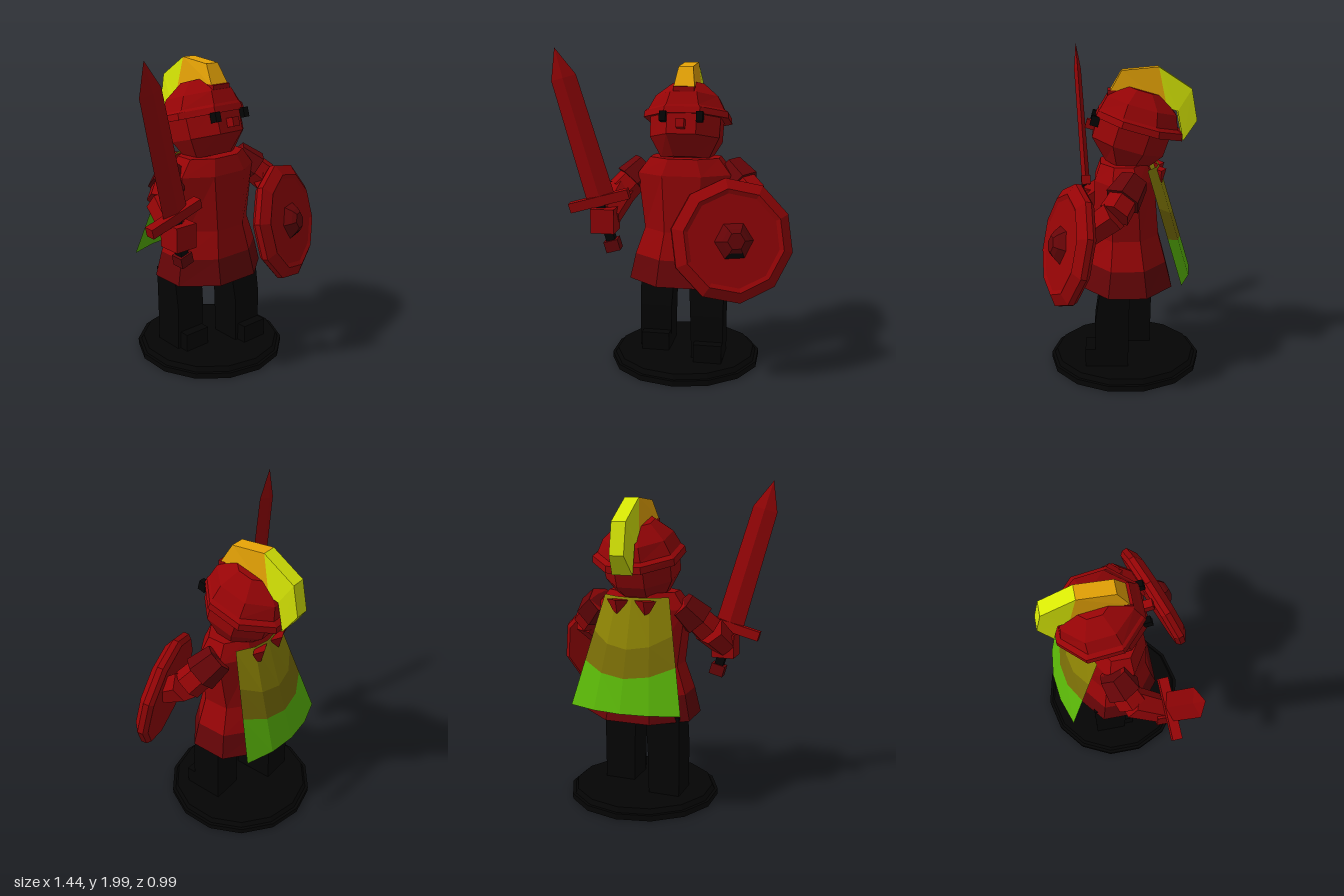
import * as THREE from 'three';

const mat = (name, color) => {
  const m = new THREE.MeshStandardMaterial({ color });
  m.name = name;
  return m;
};

// Faceted geometry from an indexed or plain one
function facet(geo) {
  const g = geo.index ? geo.toNonIndexed() : geo;
  g.computeVertexNormals();
  return g;
}

// Capped skin over consecutive rings of n points each
function skin(pos, n) {
  const idx = [], last = pos.length / 3 - n;
  for (let r = 0; r < last; r += n) {
    for (let i = 0; i < n; i++) {
      const j = (i + 1) % n;
      idx.push(r + i, r + j, r + n + j, r + i, r + n + j, r + n + i);
    }
  }
  for (let i = 1; i < n - 1; i++) idx.push(0, i + 1, i, last, last + i, last + i + 1);
  const g = new THREE.BufferGeometry();
  g.setAttribute('position', new THREE.Float32BufferAttribute(pos, 3));
  g.setIndex(idx);
  return facet(g);
}

// Solid through rising rings [y, centreX, centreZ, halfX, halfZ] with n flat sides
function loft(rings, n = 8) {
  const pos = [], k = 1 / Math.cos(Math.PI / n);
  for (const [y, cx, cz, hx, hz] of rings) {
    for (let i = 0; i < n; i++) {
      const a = (i + 0.5) / n * Math.PI * 2;
      pos.push(cx + hx * k * Math.sin(a), y, cz + hz * k * Math.cos(a));
    }
  }
  return skin(pos, n);
}

// Tapered limb segment between two points
function limb(a, b, ra, rb, n = 6) {
  const p = new THREE.Vector3(...a), q = new THREE.Vector3(...b);
  const d = q.clone().sub(p), len = d.length();
  const g = loft([[0, 0, 0, ra, ra], [len, 0, 0, rb, rb]], n);
  g.applyQuaternion(new THREE.Quaternion().setFromUnitVectors(new THREE.Vector3(0, 1, 0), d.normalize()));
  return g.translate(...a);
}

export function createModel() {
  const red = mat('red', 0x960406), darkRed = mat('dark red', 0x660407);
  const black = mat('black', 0x040404), gold = mat('gold', 0xeda806);
  const yellow = mat('yellow', 0xdcec05), olive = mat('olive', 0x8c8204);
  const darkOlive = mat('dark olive', 0x786c06), green = mat('green', 0x5ab608);
  for (const m of [olive, darkOlive, green]) m.side = THREE.DoubleSide;

  const model = new THREE.Group();
  const add = (name, geo, material, parent = model) => {
    const mesh = new THREE.Mesh(geo, material);
    mesh.name = name;
    parent.add(mesh);
  };
  const box = (name, w, h, d, x, y, z, material, parent) =>
    add(name, new THREE.BoxGeometry(w, h, d).translate(x, y, z), material, parent);
  const group = (name, x, y, z) => {
    const g = new THREE.Group();
    g.name = name;
    g.position.set(x, y, z);
    model.add(g);
    return g;
  };
  const X = 0.035; // body centre line

  // Stand
  add('standLower', facet(new THREE.CylinderGeometry(0.48, 0.48, 0.035, 14).translate(X, 0.0175, -0.02)), black);
  add('standUpper', facet(new THREE.CylinderGeometry(0.445, 0.46, 0.03, 14).translate(X, 0.05, -0.02)), black);

  // Legs and boots, the left one a step ahead
  for (const [side, s, z] of [['right', -1, -0.09], ['left', 1, 0.065]]) {
    add(side + 'Leg', loft([
      [0.06, 0.02 + s * 0.18, z, 0.1, 0.1],
      [0.35, 0.02 + s * 0.177, z, 0.103, 0.105],
      [0.58, 0.02 + s * 0.17, z - 0.02, 0.11, 0.09],
    ], 4), black);
    box(side + 'Boot', 0.178, 0.12, 0.26, 0.03 + s * 0.18, 0.12, z + 0.035, black);
  }

  // Tunic
  add('tunicHem', loft([[0.55, X, -0.03, 0.345, 0.28], [0.71, X, -0.03, 0.31, 0.24]]), darkRed);
  add('tunic', loft([
    [0.71, X, -0.03, 0.31, 0.24], [0.88, X, -0.025, 0.25, 0.2],
    [1.23, X, -0.015, 0.29, 0.18], [1.33, X, -0.01, 0.215, 0.14],
  ]), red);

  // Head, looking slightly up
  const head = group('head', X, 1.5, -0.08);
  head.rotation.x = -0.28;
  add('face', loft([
    [-0.2, 0, 0.01, 0.15, 0.12], [-0.08, 0, 0.025, 0.215, 0.222], [0.08, 0, 0.02, 0.22, 0.225],
  ]), red, head);
  add('helmet', loft([
    [0.045, 0, -0.01, 0.265, 0.268], [0.085, 0, -0.008, 0.26, 0.26], [0.1, 0, 0.005, 0.235, 0.24],
    [0.18, 0, 0.01, 0.195, 0.215], [0.265, 0, 0.02, 0.1, 0.11],
  ]), red, head);
  for (const s of [-1, 1]) box(s < 0 ? 'rightEye' : 'leftEye', 0.04, 0.06, 0.05, s * 0.112, 0.022, 0.256, black, head);
  box('nose', 0.05, 0.055, 0.07, 0, -0.022, 0.268, red, head);

  // Helmet crest: sections [outerZ, outerY, innerZ, innerY], narrower outside
  const crest = (name, sections, material) => add(name, skin(sections.flatMap(([z, y, iz, iy]) => [
    X - 0.045, y, z, X + 0.045, y, z, X + 0.065, iy, iz, X - 0.065, iy, iz,
  ]), 4), material);
  const crestJoin = [-0.22, 1.9, -0.27, 1.66];
  crest('crestFront', [[0, 1.88, 0.07, 1.76], crestJoin], gold);
  crest('crestBack', [crestJoin, [-0.42, 1.77, -0.335, 1.64], [-0.455, 1.58, -0.37, 1.46]], yellow);
  box('crestHolder', 0.13, 0.05, 0.05, X, 1.74, 0.06, red);

  // Cape in three curved bands, widening and bowing out behind
  const capePoint = (s, band) => {
    const t = band - 0.5 * s * s * band * (1 - band);
    return [X + s * (0.21 + 0.145 * t), 1.31 - 0.67 * t, -0.15 - 0.2 * t - 0.08 * (1 - s * s)];
  };
  [['capeTop', 0, 0.45, olive], ['capeMiddle', 0.45, 0.7, darkOlive], ['capeBottom', 0.7, 1, green]]
    .forEach(([name, t0, t1, material]) => {
      const pos = [];
      for (let i = -2; i < 2; i++) {
        const a = capePoint(i / 2, t0), b = capePoint((i + 1) / 2, t0);
        const c = capePoint(i / 2, t1), d = capePoint((i + 1) / 2, t1);
        pos.push(...a, ...b, ...c, ...b, ...d, ...c);
      }
      const g = new THREE.BufferGeometry();
      g.setAttribute('position', new THREE.Float32BufferAttribute(pos, 3));
      add(name, facet(g), material);
    });
  // Pointed cape fasteners
  for (const s of [-1, 1]) {
    const g = new THREE.ConeGeometry(0.07, 0.12, 4).rotateX(Math.PI).scale(1, 1, 0.5);
    add('capeClasp', facet(g.translate(X + s * 0.09, 1.235, -0.235)), red);
  }

  // Arms
  const arm = (side, shoulder, elbow, wrist) => {
    const mid = shoulder.map((v, i) => v * 0.4 + elbow[i] * 0.6);
    add(side + 'Shoulder', limb(shoulder, mid, 0.08, 0.1), darkRed);
    add(side + 'UpperArm', limb(shoulder, elbow, 0.075, 0.085), red);
    add(side + 'Forearm', limb(elbow, wrist, 0.085, 0.075), red);
  };
  arm('right', [-0.23, 1.26, -0.07], [-0.375, 1.1, 0.02], [-0.42, 0.98, 0.2]);
  arm('left', [0.3, 1.26, -0.07], [0.46, 1.1, 0.05], [0.43, 0.95, 0.25]);
  box('rightHand', 0.145, 0.15, 0.15, -0.425, 0.965, 0.235, red);

  // Sword
  const sword = group('sword', -0.425, 0.96, 0.23);
  sword.rotation.set(0.055, 0.06, 0.262);
  const bladeProfile = [[0, 0.12], [0.09, 0.12], [0.078, 0.89], [0, 1.07]].map(p => new THREE.Vector2(...p));
  add('blade', facet(new THREE.LatheGeometry(bladeProfile, 4).scale(1, 1, 0.3).translate(0.012, 0, 0)), red, sword);
  box('guard', 0.38, 0.06, 0.06, 0, 0.125, 0, red, sword);
  box('grip', 0.055, 0.3, 0.055, 0, 0, 0, black, sword);
  box('pommel', 0.09, 0.07, 0.08, 0, -0.165, 0, darkRed, sword);

  // Shield: raised rim around a flat face
  const shield = group('shield', 0.368, 0.888, 0.325);
  shield.rotation.set(-0.22, 0.34, 0, 'YXZ');
  const disc = (rings, n) => loft(rings.map(([y, r]) => [y, 0, 0, r, r]), n).rotateX(Math.PI / 2);
  add('shieldBody', disc([[-0.045, 0.33], [-0.02, 0.352], [0.015, 0.352], [0.055, 0.29], [0.045, 0.265]], 10)
    .rotateZ(-0.23), red, shield);
  // Boss with a black lowest facet
  const boss = disc([[0.04, 0.105], [0.085, 0.07], [0.105, 0.045]], 6);
  boss.addGroup(0, 30, 0);
  boss.addGroup(30, 6, 1);
  boss.addGroup(36, Infinity, 0);
  add('shieldBoss', boss, [darkRed, black], shield);

  return model;
}
